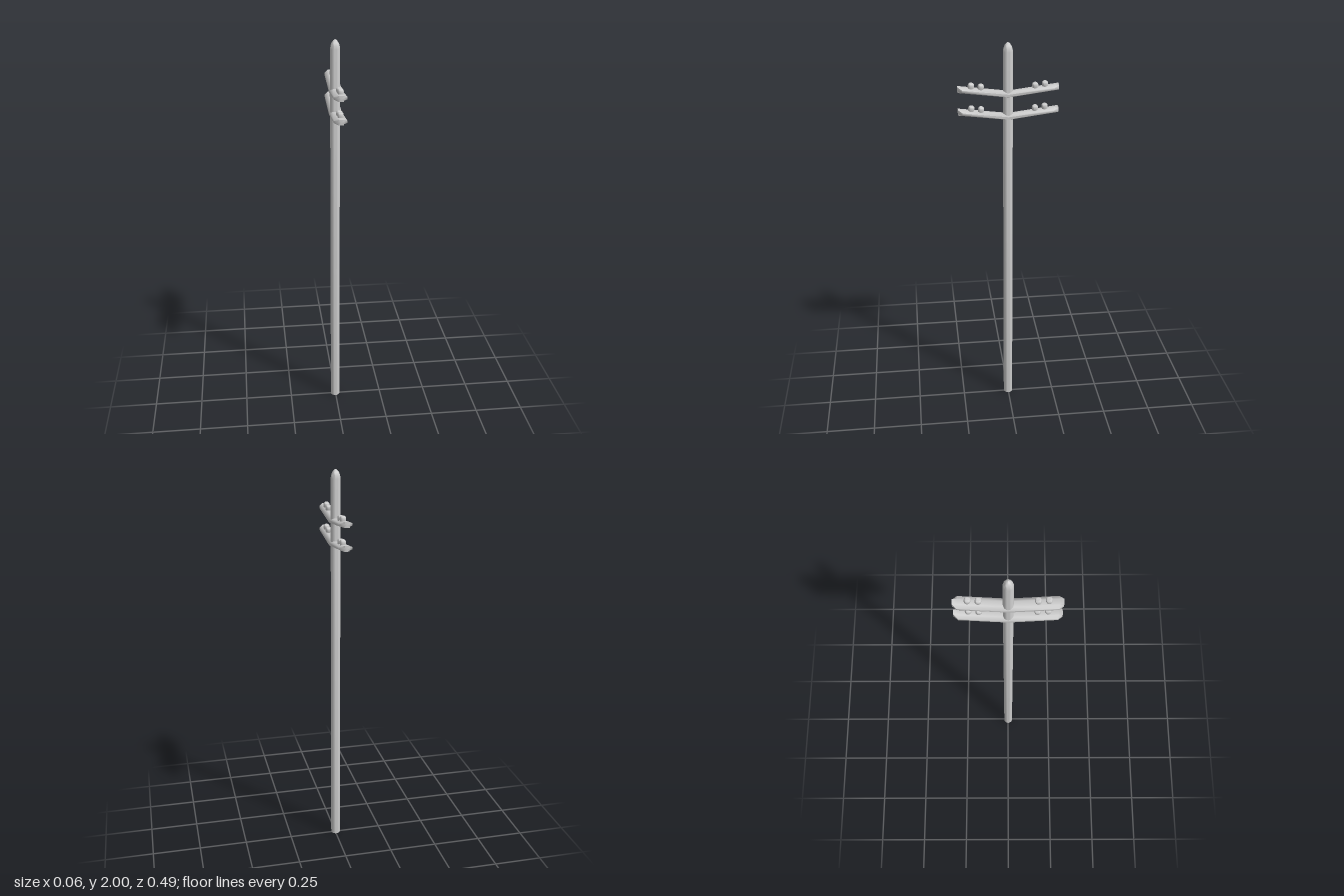
import * as THREE from 'three';
import { toCreasedNormals } from 'three/addons/utils/BufferGeometryUtils.js';

const material = new THREE.MeshStandardMaterial({ color: 0xcccccc });

const lathe = (points, sides) => toCreasedNormals(
  new THREE.LatheGeometry(points.map(([r, y]) => new THREE.Vector2(r, y)), sides), 0.75);

function add(parent, name, geometry, x = 0, y = 0, z = 0) {
  const mesh = new THREE.Mesh(geometry, material);
  mesh.name = name;
  mesh.position.set(x, y, z);
  parent.add(mesh);
  return mesh;
}

const HALF_LENGTH = 0.243, RISE = 0.031;
const armHeight = z => RISE * Math.abs(z) / HALF_LENGTH;

// Shallow V-shaped arm: flattened octagonal bar with ends narrowed in plan
function armGeometry() {
  const rows = [-HALF_LENGTH, -0.222, 0, 0.222, HALF_LENGTH];
  const geo = new THREE.CylinderGeometry(1, 1, 4, 8, 4, false, Math.PI / 8);
  geo.rotateX(Math.PI / 2);
  const p = geo.attributes.position;
  const k = 1 / Math.cos(Math.PI / 8);
  for (let i = 0; i < p.count; i++) {
    const row = Math.round(p.getZ(i)) + 2;
    const z = rows[row];
    const atEnd = row === 0 || row === 4;
    const x = p.getX(i) * k * 0.031;
    p.setXYZ(i, atEnd ? THREE.MathUtils.clamp(x, -0.013, 0.013) : x,
      p.getY(i) * k * 0.0135 + armHeight(z), z);
  }
  return toCreasedNormals(geo, 1.2);
}

export function createModel() {
  const model = new THREE.Group();
  model.name = 'utilityPole';

  // Round pole with a pointed, rounded tip
  add(model, 'pole', lathe([
    [0, 0], [0.024, 0], [0.024, 1.955], [0.0215, 1.971], [0.016, 1.985], [0.008, 1.995], [0, 2],
  ], 24), -0.002, 0, 0.001);

  // Insulator knob: short peg with a rounded shoulder
  const knob = lathe([
    [0, -0.008], [0.012, -0.008], [0.015, 0.006], [0.015, 0.016], [0.013, 0.022], [0.008, 0.026], [0, 0.0265],
  ], 16);
  const arm = armGeometry();

  // Two crossarms, each carrying two insulators per side
  [['lower', 1.637], ['upper', 1.749]].forEach(([level, y]) => {
    const crossarm = new THREE.Group();
    crossarm.name = level + 'Crossarm';
    crossarm.position.y = y;
    add(crossarm, 'armBar', arm);
    for (const z of [-0.178, -0.131, 0.133, 0.18]) {
      const mesh = add(crossarm, 'insulator', knob, 0.004, armHeight(z) + 0.0125, z);
      mesh.rotation.x = -Math.sign(z) * Math.atan(RISE / HALF_LENGTH);
    }
    model.add(crossarm);
  });
  return model;
}
